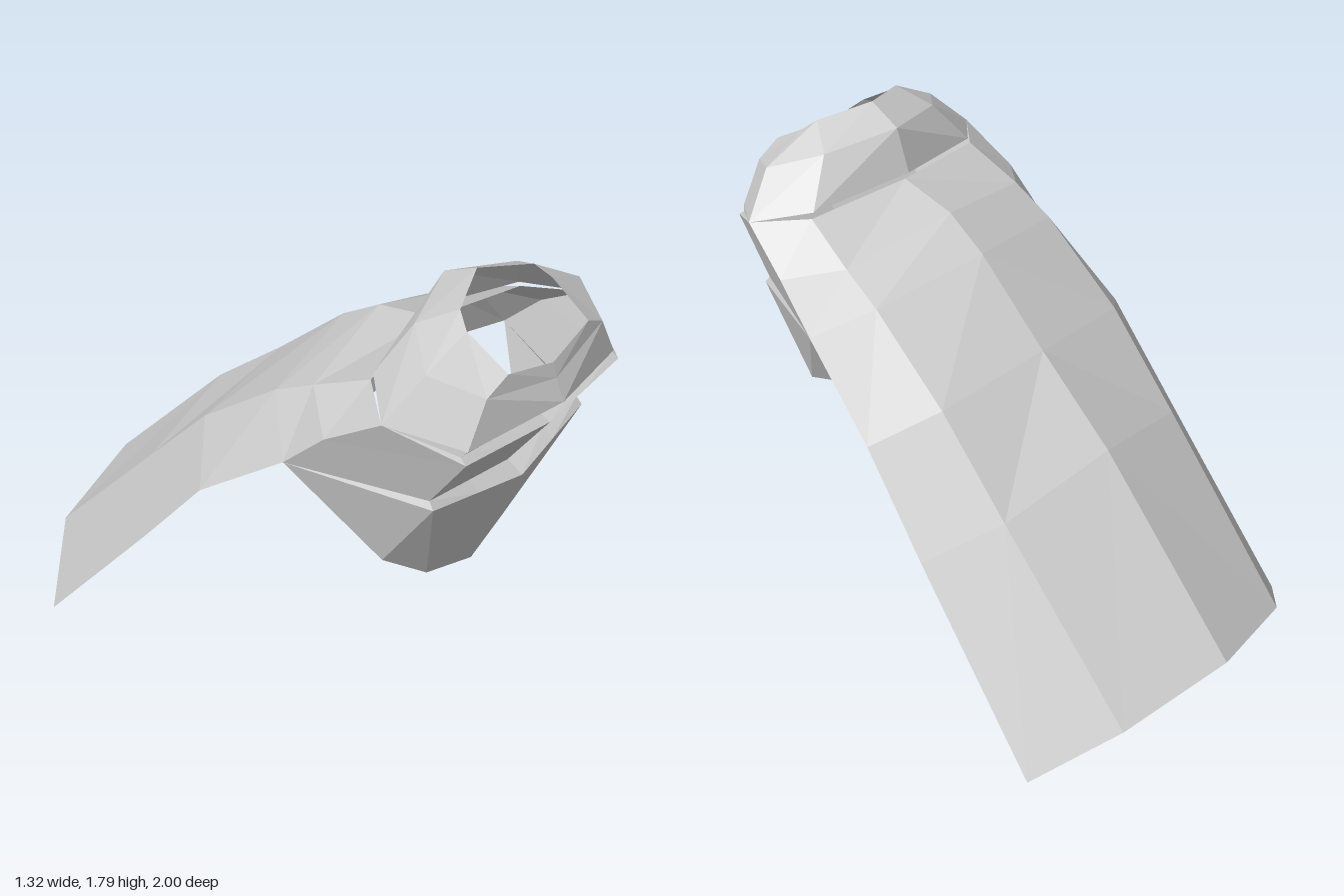
import * as THREE from 'three';

const material = new THREE.MeshStandardMaterial({
  color: 0xcccccc, flatShading: true, side: THREE.DoubleSide,
});

// The cloth hangs a little lower on its left side.
const hang = ([x, y, z], side) => [x * side + 0.008 * y - 0.004, y - 0.03 * x * side, z];

// Joins rows of points into faceted cloth and mirrors it across x = 0.
function cloth(name, rows) {
  const positions = [];
  for (const side of [1, -1]) {
    const tri = (a, b, c) => {
      const order = side > 0 ? [a, b, c] : [a, c, b];
      order.forEach((p) => positions.push(...hang(p, side)));
    };
    for (let i = 0; i < rows.length - 1; i++) {
      for (let j = 0; j < rows[i].length - 1; j++) {
        const a = rows[i][j], b = rows[i][j + 1];
        const c = rows[i + 1][j], d = rows[i + 1][j + 1];
        if (a !== c) tri(a, c, b);
        if (b !== d) tri(b, c, d);
      }
    }
  }
  const geometry = new THREE.BufferGeometry();
  geometry.setAttribute('position', new THREE.Float32BufferAttribute(positions, 3));
  geometry.computeVertexNormals();
  const mesh = new THREE.Mesh(geometry, material);
  mesh.name = name;
  return mesh;
}

export function createModel() {
  const group = new THREE.Group();
  group.name = 'hoodlessCape';

  // Seam points shared by the collar, chest and cape
  const shoulder = [0.51, 1.52, 0.72];
  const upperArm = [0.545, 1.39, 0.53];
  const armpit = [0.56, 1.235, 0.38];
  const chestTop = [0, 1.48, 1.0];
  const chestCorner = [0.37, 1.455, 0.93];

  // Collar: neck rim, neck base and shoulder ring, each from front to back
  group.add(cloth('collar', [
    [[0, 1.6, 0.95], [0.2, 1.645, 0.93], [0.21, 1.73, 0.78], [0.18, 1.77, 0.73], [0, 1.8, 0.65]],
    [[0, 1.55, 0.965], [0.29, 1.6, 0.925], [0.38, 1.655, 0.77], [0.25, 1.705, 0.62], [0, 1.74, 0.53]],
    [chestTop, chestCorner, shoulder, [0.36, 1.555, 0.56], [0, 1.59, 0.48]],
  ]));

  // Chest: draped folds, each from the centre to the side
  const fold = (centre, corner, side) =>
    [centre, centre.map((v, k) => (v + corner[k]) / 2), corner, side];
  group.add(cloth('chestDrape', [
    fold(chestTop, chestCorner, shoulder),
    fold([0, 1.4, 0.92], [0.385, 1.438, 0.915], shoulder),
    fold([0, 1.385, 0.96], [0.388, 1.42, 0.94], upperArm),
    fold([0, 1.17, 0.82], [0.38, 1.215, 0.81], armpit),
    fold([0, 1.14, 0.88], [0.385, 1.19, 0.83], armpit),
    [[0, 0.7, 0.71], [0.2, 0.74, 0.68], [0.37, 0.87, 0.63], armpit],
  ]));

  // Cape: rows down the back, each from the outer edge to the spine
  group.add(cloth('cape', [
    [shoulder, [0.37, 1.535, 0.56], [0, 1.56, 0.5]],
    [upperArm, [0.4, 1.435, 0.36], [0, 1.51, 0.28]],
    [armpit, [0.41, 1.35, 0.21], [0, 1.41, 0.13]],
    [[0.61, 0.98, 0.06], [0.42, 1.1, -0.1], [0, 1.15, -0.15]],
    [[0.63, 0.65, -0.2], [0.42, 0.79, -0.38], [0, 0.89, -0.45]],
    [[0.66, 0.025, -0.71], [0.41, 0.205, -0.905], [0, 0.29, -1]],
  ]));

  return group;
}
